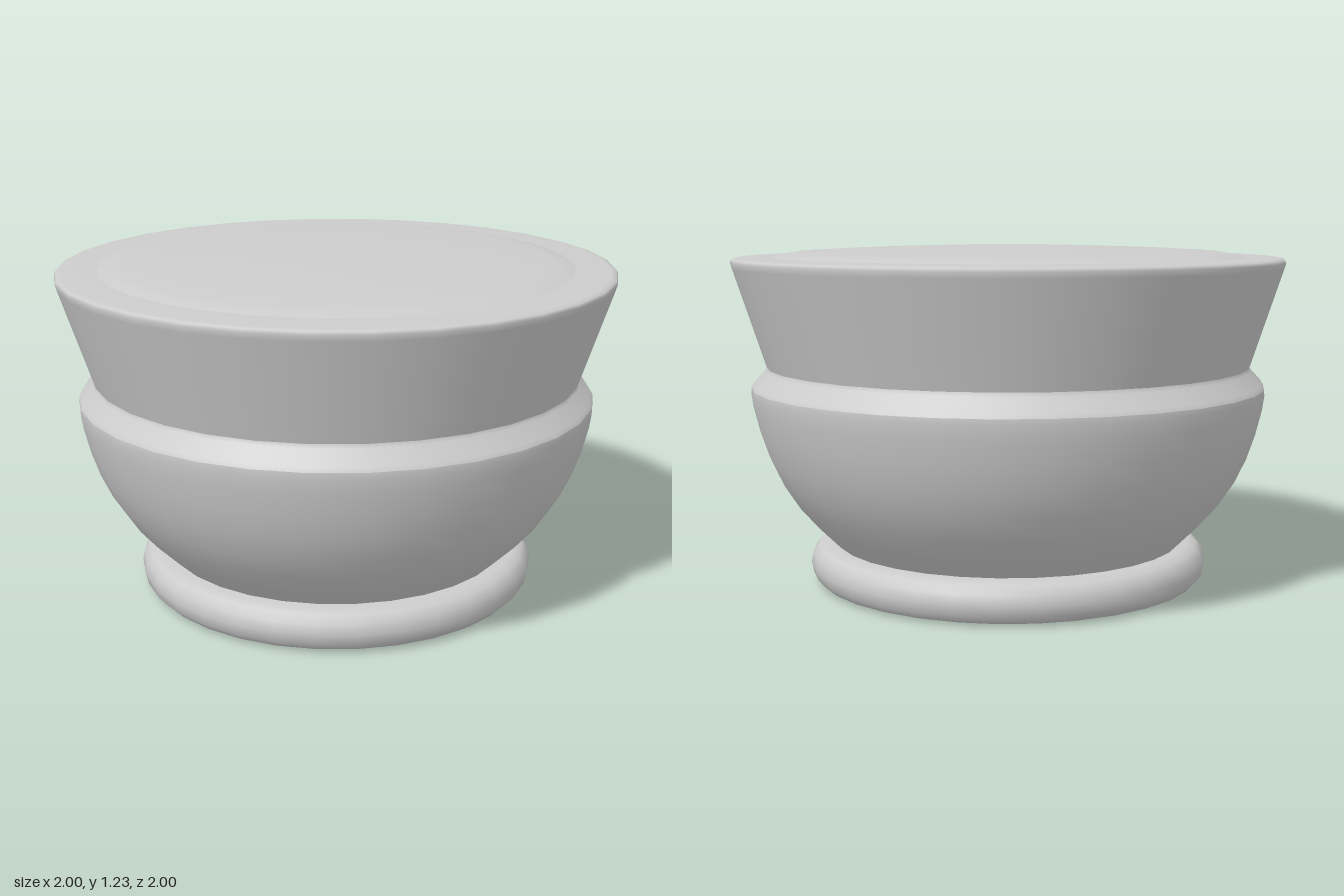
import * as THREE from 'three';

export function createModel() {
  const group = new THREE.Group();
  const paleGrey = new THREE.MeshStandardMaterial({ color: 0xcccccc });
  paleGrey.name = 'paleGrey';

  // Each part is a turned profile of [radius, height], running bottom to top
  const turn = (name, profile) => {
    const points = profile.map(([r, y]) => new THREE.Vector2(r, y));
    const mesh = new THREE.Mesh(new THREE.LatheGeometry(points, 32), paleGrey);
    mesh.name = name;
    group.add(mesh);
  };

  // Foot: flat base and rounded ring
  turn('footBase', [[0, 0], [0.67, 0]]);
  turn('footRing', [
    [0.67, 0], [0.7, 0.01], [0.722, 0.035], [0.73, 0.073],
    [0.722, 0.11], [0.7, 0.135], [0.67, 0.145], [0.63, 0.146],
  ]);

  // Rounded lower bowl
  turn('bowl', [
    [0.63, 0.14], [0.65, 0.16], [0.715, 0.225], [0.78, 0.3], [0.835, 0.385],
    [0.875, 0.47], [0.905, 0.56], [0.927, 0.65], [0.934, 0.7], [0.933, 0.72],
  ]);

  // Sloping shoulder up to the waist
  turn('shoulder', [[0.933, 0.72], [0.925, 0.735], [0.882, 0.782], [0.878, 0.795]]);

  // Flared collar with a softened rim
  turn('collar', [
    [0.878, 0.795], [0.936, 0.975], [0.992, 1.148], [0.998, 1.168],
    [0.993, 1.179], [0.975, 1.184], [0.85, 1.186],
  ]);

  // Shallow domed top
  turn('top', [
    [0.85, 1.186], [0.82, 1.194], [0.77, 1.203], [0.6, 1.212],
    [0.4, 1.219], [0.2, 1.225], [0, 1.226],
  ].map(([r, y]) => [r, y]));

  return group;
}
